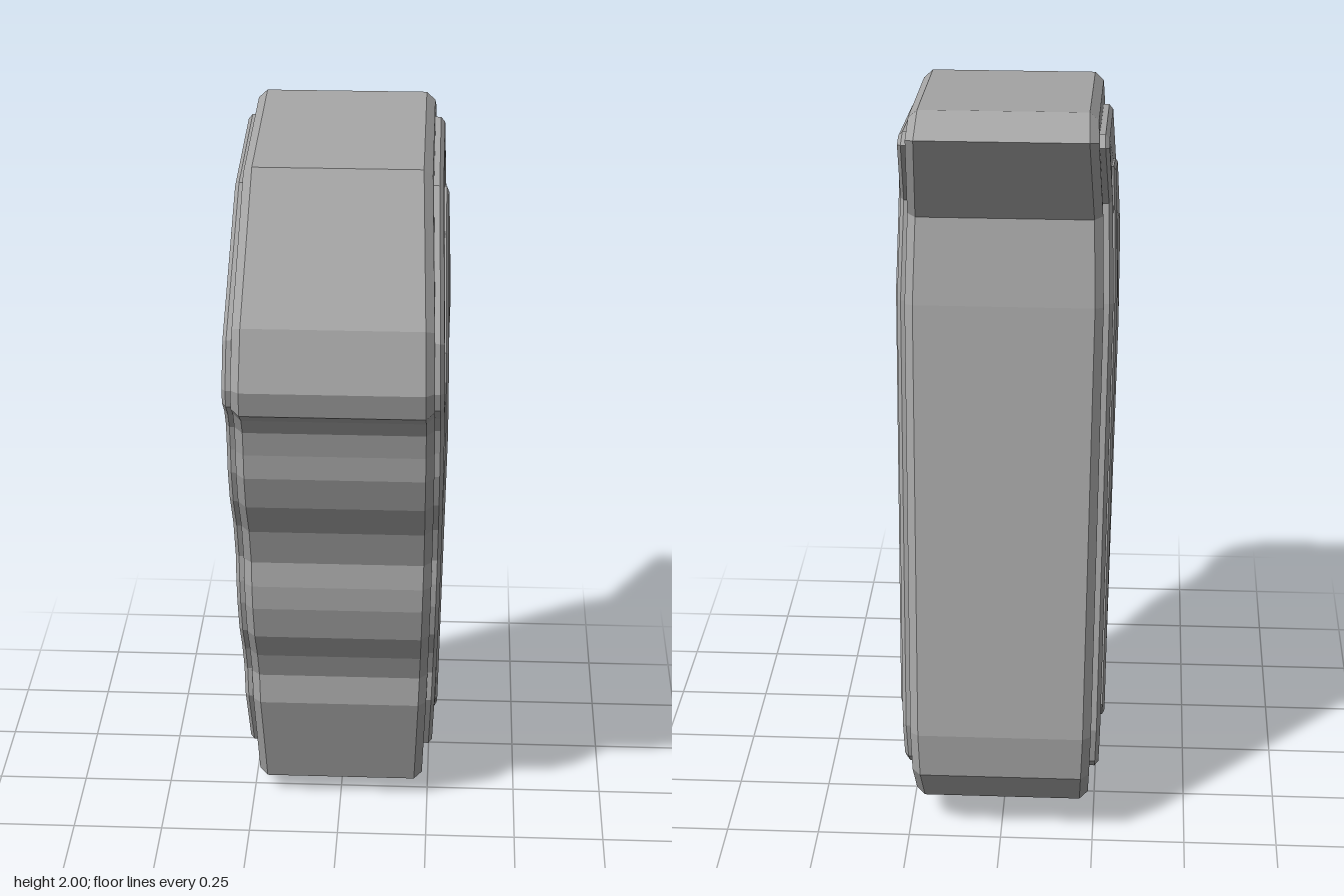
import * as THREE from 'three';

// Half thickness of the grip: fullest near y = 1.3, slimmer at both ends
const halfWidth = (y) => {
  const t = y > 1.3 ? (y - 1.3) / 0.7 : (1.3 - y) / 1.3;
  return 0.258 - (y > 1.3 ? 0.021 : 0.027) * t * t;
};

// Moves every corner of a closed counter-clockwise outline inwards
function inset(points, d) {
  const n = points.length;
  return points.map((p, i) => {
    const a = points[(i + n - 1) % n], b = points[(i + 1) % n];
    const u = new THREE.Vector2(p[0] - a[0], p[1] - a[1]).normalize();
    const v = new THREE.Vector2(b[0] - p[0], b[1] - p[1]).normalize();
    const m = new THREE.Vector2(-u.y - v.y, u.x + v.x);
    const k = 2 * d / Math.max(m.lengthSq(), 1);
    return [p[0] + m.x * k, p[1] + m.y * k];
  });
}

// Bevelled slab across x from a [z, y] outline, with gently bulging sides
function slab(outline, rise, bevelIn, bevelX) {
  const inner = inset(outline, bevelIn);
  const ring = (pts, side, drop) =>
    pts.map(([z, y]) => new THREE.Vector3(side * (halfWidth(y) + rise - drop), y, z));
  const rings = [
    ring(inner, -1, 0), ring(outline, -1, bevelX),
    ring(outline, 1, bevelX), ring(inner, 1, 0),
  ];
  const pos = [];
  const tri = (...corners) => corners.forEach((c) => pos.push(c.x, c.y, c.z));
  const n = outline.length;
  for (let r = 0; r < 3; r++) {
    const a = rings[r], b = rings[r + 1];
    for (let i = 0; i < n; i++) {
      const j = (i + 1) % n;
      tri(a[i], b[i], a[j]);
      tri(a[j], b[i], b[j]);
    }
  }
  // Side faces
  const flat = inner.map(([z, y]) => new THREE.Vector2(z, y));
  for (const [i, j, k] of THREE.ShapeUtils.triangulateShape(flat, [])) {
    tri(rings[0][i], rings[0][j], rings[0][k]);
    tri(rings[3][i], rings[3][k], rings[3][j]);
  }
  const g = new THREE.BufferGeometry();
  g.setAttribute('position', new THREE.Float32BufferAttribute(pos, 3));
  g.computeVertexNormals();
  return g;
}

export function createModel() {
  const group = new THREE.Group();
  group.name = 'grip';
  const grey = new THREE.MeshStandardMaterial({ color: 0xa6a6a6 });
  grey.name = 'grey';

  // Finger grooves along the front, from bottom to top
  const fingers = [
    [0.137, 0.355], [0.13, 0.44], [0.16, 0.52], [0.215, 0.61], [0.24, 0.71],
    [0.243, 0.78], [0.235, 0.85], [0.27, 0.96], [0.345, 1.07], [0.38, 1.17],
    [0.386, 1.24], [0.4, 1.31], [0.435, 1.36],
  ];

  // Outlines as [z, y]: over the top to the back, down, and up the front
  const body = [
    [-0.32, 2], [-0.418, 1.95], [-0.265, 1.7], [-0.32, 1.48], [-0.513, 0.32],
    [-0.508, 0.195], [-0.42, 0.08], [-0.07, 0], [0.05, 0.06],
    ...fingers, [0.497, 1.4], [0.513, 1.47], [0.465, 1.625], [0.2, 1.957],
  ];
  const sidePanel = [
    [-0.3, 1.937], [-0.345, 1.915], [-0.19, 1.72], [-0.26, 1.47], [-0.46, 0.32],
    [-0.445, 0.215], [-0.4, 0.175], [-0.09, 0.1], [0.015, 0.16],
    ...fingers.map(([z, y]) => [z - 0.035, y]),
    [0.462, 1.41], [0.475, 1.46], [0.445, 1.585], [0.127, 1.89],
  ];
  const raisedPanel = [
    [-0.132, 1.8], [-0.132, 1.68], [-0.19, 1.47], [-0.39, 0.36], [-0.355, 0.31],
    [-0.1, 0.217], [-0.037, 0.275], [0.233, 1.233], [0.328, 1.43], [0.323, 1.51],
    [0.1, 1.75],
  ];

  // Each layer shows equally on the left and right sides
  const add = (name, ...args) => {
    const mesh = new THREE.Mesh(slab(...args), grey);
    mesh.name = name;
    group.add(mesh);
  };
  add('gripBody', body, 0, 0.02, 0.022);
  add('sidePanels', sidePanel, 0.024, 0.012, 0.01);
  add('raisedPanels', raisedPanel, 0.033, 0.01, 0.006);
  return group;
}
